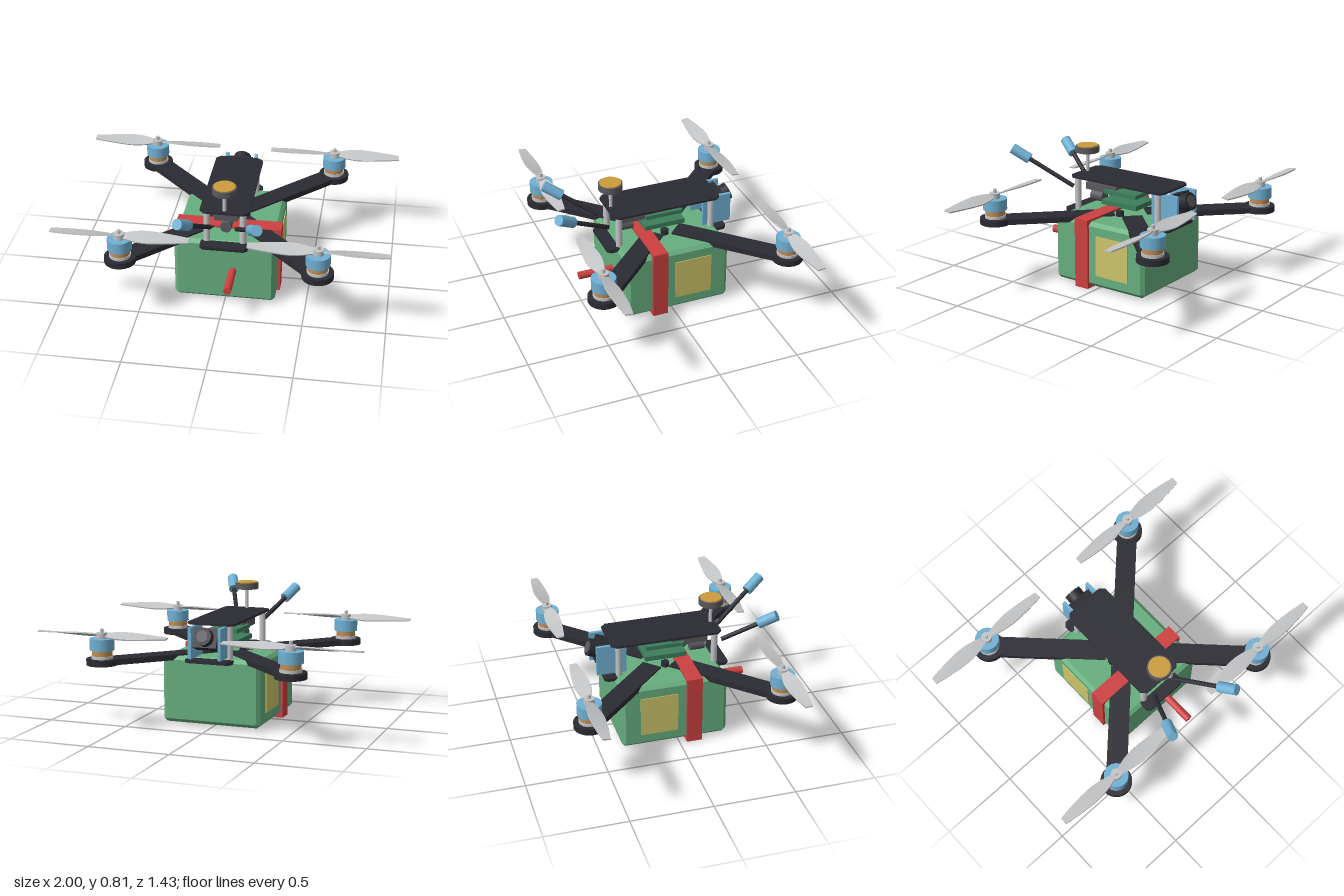
import * as THREE from 'three';
import { ConvexGeometry } from 'three/addons/geometries/ConvexGeometry.js';

const mat = (name, color) => new THREE.MeshStandardMaterial({ name, color });

export function createModel() {
  const carbon = mat('carbon black', 0x2b2b33);
  const green = mat('battery green', 0x66ae7e);
  const red = mat('strap red', 0xcc4040);
  const blue = mat('light blue', 0x70b0d4);
  const copper = mat('copper', 0xc08c54);
  const silver = mat('silver', 0xc2c4c6);
  const grey = mat('dark grey', 0x5a5a5e);
  const gold = mat('gold', 0xcc9c3c);
  const yellow = mat('label yellow', 0xccc46a);
  const board = mat('board green', 0x3c7e5c);

  const model = new THREE.Group();
  model.name = 'quadcopter';

  const add = (parent, name, geometry, material, x = 0, y = 0, z = 0) => {
    const mesh = new THREE.Mesh(geometry, material);
    mesh.name = name;
    mesh.position.set(x, y, z);
    parent.add(mesh);
    return mesh;
  };
  const box = (parent, name, material, w, h, d, x, y, z) =>
    add(parent, name, new THREE.BoxGeometry(w, h, d), material, x, y, z);
  // Upright cylinder between two heights
  const cyl = (parent, name, material, r, y0, y1, x = 0, z = 0, n = 24) =>
    add(parent, name, new THREE.CylinderGeometry(r, r, y1 - y0, n), material, x, (y0 + y1) / 2, z);
  // Cylinder between two points
  const rod = (parent, name, material, r, a, b, n = 16) => {
    const dir = b.clone().sub(a);
    const mesh = add(parent, name, new THREE.CylinderGeometry(r, r, dir.length(), n), material);
    mesh.position.copy(a).add(b).multiplyScalar(0.5);
    mesh.quaternion.setFromUnitVectors(new THREE.Vector3(0, 1, 0), dir.normalize());
    return mesh;
  };
  const V = (x, y, z) => new THREE.Vector3(x, y, z);

  // Horizontal plate with cut corners
  const plate = (name, w, z0, z1, y0, y1, c) => {
    const x = w / 2;
    const shape = new THREE.Shape([
      [x, z0 + c], [x, z1 - c], [x - c, z1], [c - x, z1],
      [-x, z1 - c], [-x, z0 + c], [c - x, z0], [x - c, z0],
    ].map(([px, pz]) => new THREE.Vector2(px, -pz)));
    const geo = new THREE.ExtrudeGeometry(shape, { depth: y1 - y0, bevelEnabled: false });
    geo.rotateX(-Math.PI / 2);
    add(model, name, geo, carbon, 0, y0, 0);
  };
  plate('bottomPlate', 0.29, -0.42, 0.365, 0.402, 0.422, 0.02);
  plate('topPlate', 0.3, -0.375, 0.32, 0.628, 0.641, 0.03);

  // Battery: box with chamfered edges
  const [bx, by, bz, c] = [0.31, 0.204, 0.3325, 0.022];
  const corners = [];
  for (const i of [-1, 1]) for (const j of [-1, 1]) for (const k of [-1, 1]) {
    corners.push(
      V(i * bx, j * (by - c), k * (bz - c)),
      V(i * (bx - c), j * by, k * (bz - c)),
      V(i * (bx - c), j * (by - c), k * bz));
  }
  add(model, 'battery', new ConvexGeometry(corners), green, 0, 0.222, -0.0275);
  box(model, 'batteryStrap', red, 0.65, 0.44, 0.097, 0, 0.22, 0.093);
  rod(model, 'batteryLead', red, 0.024, V(0.05, 0.225, 0.29), V(0.05, 0.225, 0.525));
  for (const s of [-1, 1]) {
    box(model, 'batteryLabel', yellow, 0.006, 0.255, 0.235, s * 0.312, 0.222, -0.127);
  }

  // Propeller blade: a thin box shaped by chord and twist along its length
  const bladeGeometry = (spin) => {
    const geo = new THREE.BoxGeometry(1, 1, 1, 12, 1, 4);
    const p = geo.attributes.position;
    for (let i = 0; i < p.count; i++) {
      const t = p.getX(i) + 0.5;
      const chord = t < 0.4
        ? THREE.MathUtils.lerp(0.035, 0.096, Math.sin(t / 0.4 * Math.PI / 2))
        : THREE.MathUtils.lerp(0.096, 0.045, Math.pow((t - 0.4) / 0.6, 1.6));
      const w = p.getZ(i) * chord;
      const thick = p.getY(i) * 0.008;
      const a = spin * THREE.MathUtils.lerp(0.42, 0.1, t);
      p.setXYZ(i, 0.015 + t * 0.4, thick * Math.cos(a) + w * Math.sin(a),
        w * Math.cos(a) - thick * Math.sin(a));
    }
    geo.computeVertexNormals();
    return geo;
  };
  const blades = { '1': bladeGeometry(1), '-1': bladeGeometry(-1) };

  // Arms, motors and propellers
  const cz = -0.035, reach = 0.585;
  for (const sx of [-1, 1]) for (const sz of [-1, 1]) {
    const inner = 0.1, outer = reach * Math.SQRT2, mid = (inner + outer) / 2 / Math.SQRT2;
    const arm = box(model, 'arm', carbon, outer - inner, 0.035, 0.125, sx * mid, 0.4185, cz + sz * mid);
    arm.rotation.y = -Math.atan2(sz, sx);

    const motor = new THREE.Group();
    motor.name = 'motor';
    motor.position.set(sx * reach, 0, cz + sz * reach);
    model.add(motor);
    cyl(motor, 'motorMount', carbon, 0.095, 0.4, 0.437);
    cyl(motor, 'motorBase', silver, 0.065, 0.437, 0.455);
    cyl(motor, 'motorWinding', copper, 0.06, 0.455, 0.488);
    cyl(motor, 'motorBell', blue, 0.073, 0.488, 0.558);
    cyl(motor, 'propellerHub', silver, 0.032, 0.558, 0.592);
    cyl(motor, 'motorShaft', silver, 0.011, 0.59, 0.615, 0, 0, 12);
    for (const turn of [0, Math.PI]) {
      const blade = add(motor, 'propellerBlade', blades[sx * sz], silver, 0, 0.577, 0);
      blade.rotation.y = turn;
    }
  }

  // Standoffs between the plates
  for (const x of [-0.11, 0.11]) for (const z of [0.28, -0.325]) {
    cyl(model, 'standoff', silver, 0.02, 0.42, 0.63, x, z, 16);
  }

  // Electronics stack
  box(model, 'lowerBoard', board, 0.2, 0.03, 0.26, 0, 0.495, -0.025);
  box(model, 'upperBoard', board, 0.18, 0.025, 0.24, 0, 0.56, -0.025);
  box(model, 'transmitter', grey, 0.14, 0.045, 0.23, 0, 0.568, 0.135);
  box(model, 'transmitterCover', grey, 0.11, 0.018, 0.21, 0, 0.598, 0.13);
  box(model, 'transmitterChip', carbon, 0.08, 0.014, 0.12, 0, 0.613, 0.135);
  rod(model, 'capacitor', grey, 0.035, V(0, 0.495, 0.155), V(0, 0.495, 0.245));
  for (const x of [-0.09, 0.09]) cyl(model, 'stackMount', carbon, 0.025, 0.42, 0.456, x, -0.027, 12);

  // Rear camera between two side plates, tilted upward
  for (const s of [-1, 1]) {
    box(model, 'cameraSidePlate', blue, 0.02, 0.19, 0.185, s * 0.094, 0.53, -0.3675);
  }
  const camera = new THREE.Group();
  camera.name = 'camera';
  camera.position.set(0, 0.55, -0.4);
  camera.rotation.x = 0.35;
  model.add(camera);
  box(camera, 'cameraBody', carbon, 0.15, 0.12, 0.09, 0, 0, 0);
  rod(camera, 'cameraLens', carbon, 0.054, V(0, 0, -0.04), V(0, 0, -0.095), 24);
  rod(camera, 'lensGlass', grey, 0.036, V(0, 0, -0.09), V(0, 0, -0.099), 24);

  // Positioning receiver on a mast
  cyl(model, 'receiverMast', silver, 0.011, 0.64, 0.768, 0, 0.29, 12);
  cyl(model, 'receiverDisc', grey, 0.074, 0.765, 0.804, 0, 0.29, 32);
  cyl(model, 'receiverCap', gold, 0.066, 0.804, 0.81, 0, 0.29, 32);

  // Front antennas
  for (const [s, len] of [[1, 1], [-1, 0.85]]) {
    const base = V(s * 0.08, 0.55, 0.34);
    const at = (t) => base.clone().add(V(s * 0.165, 0.225, 0.355).multiplyScalar(t));
    rod(model, 'antennaRod', carbon, 0.014, base, at(len - 0.2), 12);
    rod(model, 'antennaTip', blue, 0.033, at(len - 0.28), at(len));
  }
  return model;
}
